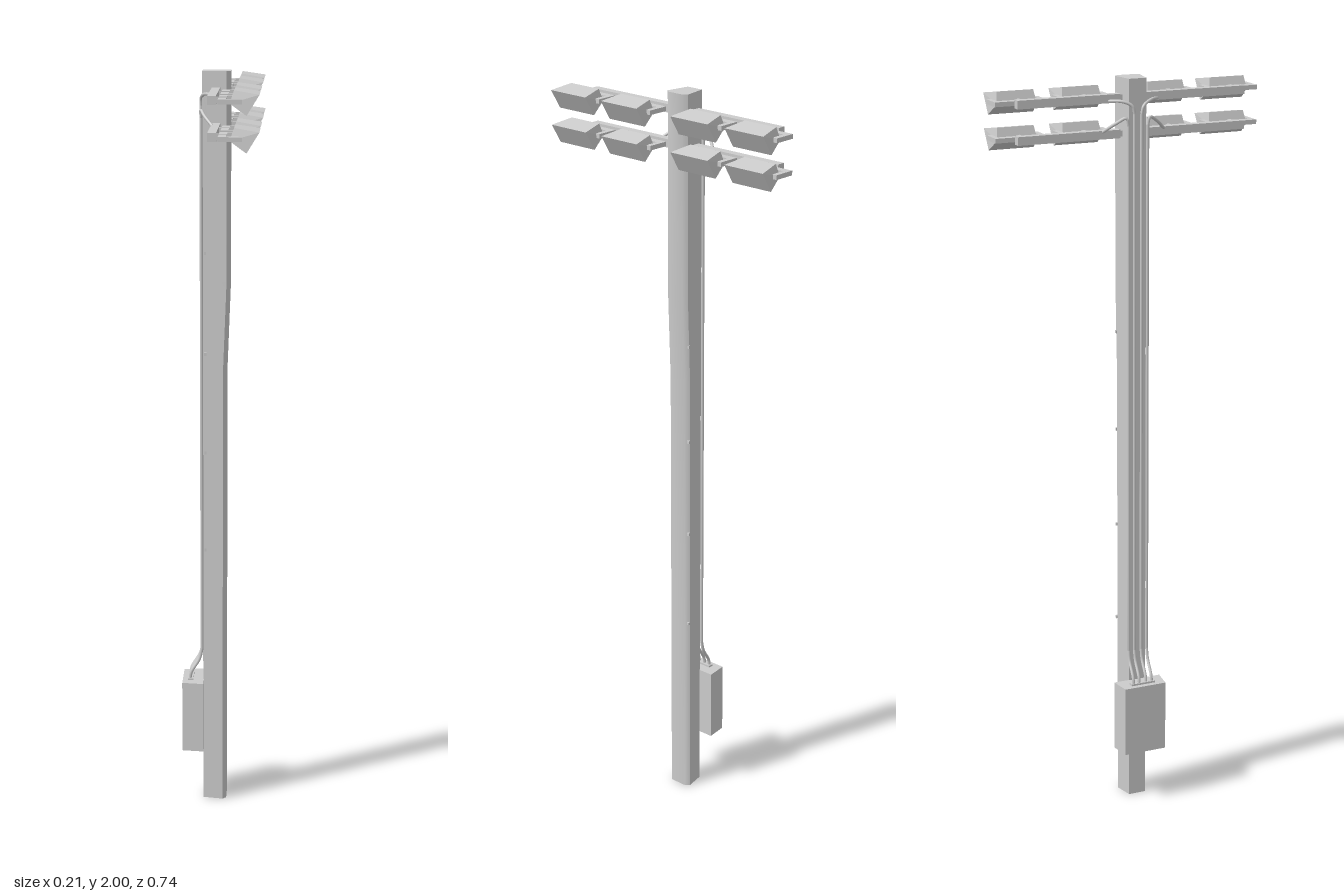
import * as THREE from 'three';
import { toCreasedNormals } from 'three/addons/utils/BufferGeometryUtils.js';
import { ConvexGeometry } from 'three/addons/geometries/ConvexGeometry.js';

const material = new THREE.MeshStandardMaterial({ color: 0xcccccc });

function add(parent, name, geometry) {
  const mesh = new THREE.Mesh(geometry, material);
  mesh.name = name;
  parent.add(mesh);
  return mesh;
}

// Box given by its min and max on each axis
function box(parent, name, [x0, x1], [y0, y1], [z0, z1]) {
  const mesh = add(parent, name, new THREE.BoxGeometry(x1 - x0, y1 - y0, z1 - z0));
  mesh.position.set((x0 + x1) / 2, (y0 + y1) / 2, (z0 + z1) / 2);
  return mesh;
}

// Solid between mirrored edges, each given as [x, y, half width in z]
function wedge(parent, name, edges) {
  const points = edges.flatMap(([x, y, w]) => [new THREE.Vector3(x, y, w), new THREE.Vector3(x, y, -w)]);
  return add(parent, name, new ConvexGeometry(points));
}

// Six-sided pole whose front bulges out above the middle
function poleGeometry() {
  const levels = [[0, 0.011], [1.22, 0.013], [1.45, 0.022], [2, 0.022]];
  const positions = [];
  const index = [];
  for (const [y, front] of levels) {
    const ring = [[-0.052, 0.024], [front - 0.01, 0.035], [front, 0.025],
      [front, -0.025], [front - 0.01, -0.035], [-0.052, -0.024]];
    for (const [x, z] of ring) positions.push(x, y, z);
  }
  const last = (levels.length - 1) * 6;
  for (let r = 0; r < last; r += 6) {
    for (let i = 0; i < 6; i++) {
      const j = (i + 1) % 6;
      index.push(r + i, r + j, r + 6 + i, r + j, r + 6 + j, r + 6 + i);
    }
  }
  for (let i = 1; i < 5; i++) {
    index.push(0, i + 1, i, last, last + i, last + i + 1);
  }
  const geometry = new THREE.BufferGeometry();
  geometry.setAttribute('position', new THREE.Float32BufferAttribute(positions, 3));
  geometry.setIndex(index);
  return toCreasedNormals(geometry, 0.9);
}

// Floodlight with its U bracket, origin at the crossarm's centre height
function floodlight() {
  const light = new THREE.Group();
  light.name = 'floodlight';
  wedge(light, 'lampHead', [
    [0.042, 0.027, 0.05], [0.031, -0.005, 0.055],
    [0.105, 0.017, 0.062], [0.073, -0.035, 0.062],
  ]);
  box(light, 'bracketBack', [0.002, 0.022], [-0.006, 0.006], [-0.07, 0.07]);
  for (const side of [-1, 1]) {
    box(light, 'bracketArm', [0.02, 0.062], [-0.006, 0.006],
      side > 0 ? [0.056, 0.07] : [-0.07, -0.056]);
  }
  box(light, 'mountBolt', [-0.006, 0.025], [-0.008, 0.008], [-0.005, 0.005]);
  return light;
}

function cable(parent, points) {
  const curve = new THREE.CurvePath();
  const v = points.map((p) => new THREE.Vector3(...p));
  // bend at the box, straight run, bend at the arms
  curve.add(new THREE.CatmullRomCurve3(v.slice(0, 4)));
  curve.add(new THREE.LineCurve3(v[3], v[4]));
  curve.add(new THREE.CatmullRomCurve3(v.slice(4)));
  for (const part of curve.curves) {
    const segments = part.isLineCurve3 ? 1 : 14;
    add(parent, 'cable', new THREE.TubeGeometry(part, segments, 0.0042, 8));
  }
}

export function createModel() {
  const model = new THREE.Group();
  model.name = 'floodlightPole';
  add(model, 'pole', poleGeometry());

  // Two rows of crossarms and lights
  for (const y of [1.948, 1.856]) {
    for (const side of [-1, 1]) {
      box(model, 'crossarm', [-0.026, -0.004], [y - 0.011, y + 0.011],
        side > 0 ? [0.037, 0.32] : [-0.32, -0.037]);
      box(model, 'crossarmMount', [-0.022, -0.008], [y - 0.008, y + 0.008],
        side > 0 ? [0.02, 0.04] : [-0.04, -0.02]);
      for (const z of [0.12, 0.3]) {
        const light = floodlight();
        light.position.set(0, y, side * z);
        model.add(light);
      }
    }
  }

  // Control box on the back
  wedge(model, 'controlBox', [
    [-0.108, 0.15, 0.06], [-0.108, 0.345, 0.06],
    [-0.05, 0.15, 0.068], [-0.05, 0.345, 0.068],
  ]);
  box(model, 'cableEntry', [-0.094, -0.079], [0.34, 0.35], [-0.035, 0.035]);

  // Outer pair feeds the lower arms, inner pair the upper arms
  for (const side of [-1, 1]) {
    for (const [z, top, endY, endZ] of [[0.027, 1.9, 1.862, 0.088], [0.01, 1.93, 1.942, 0.07]]) {
      cable(model, [
        [-0.088, 0.345, side * z], [-0.085, 0.365, side * z],
        [-0.062, 0.405, side * z], [-0.055, 0.435, side * z],
        [-0.055, top - 0.02, side * z], [-0.055, top, side * (z + 0.006)],
        [-0.045, (top + endY) / 2 + 0.006, side * (z + endZ) / 2],
        [-0.022, endY, side * endZ],
      ]);
    }
  }

  // Small staggered bolts along two edges
  for (let i = 0; i < 4; i++) {
    box(model, 'poleBolt', [-0.048, -0.042], [0.71 + i * 0.27, 0.718 + i * 0.27], [0.02, 0.028]);
    box(model, 'poleBolt', [0.004, 0.01], [0.51 + i * 0.27, 0.518 + i * 0.27], [-0.037, -0.03]);
  }
  return model;
}
